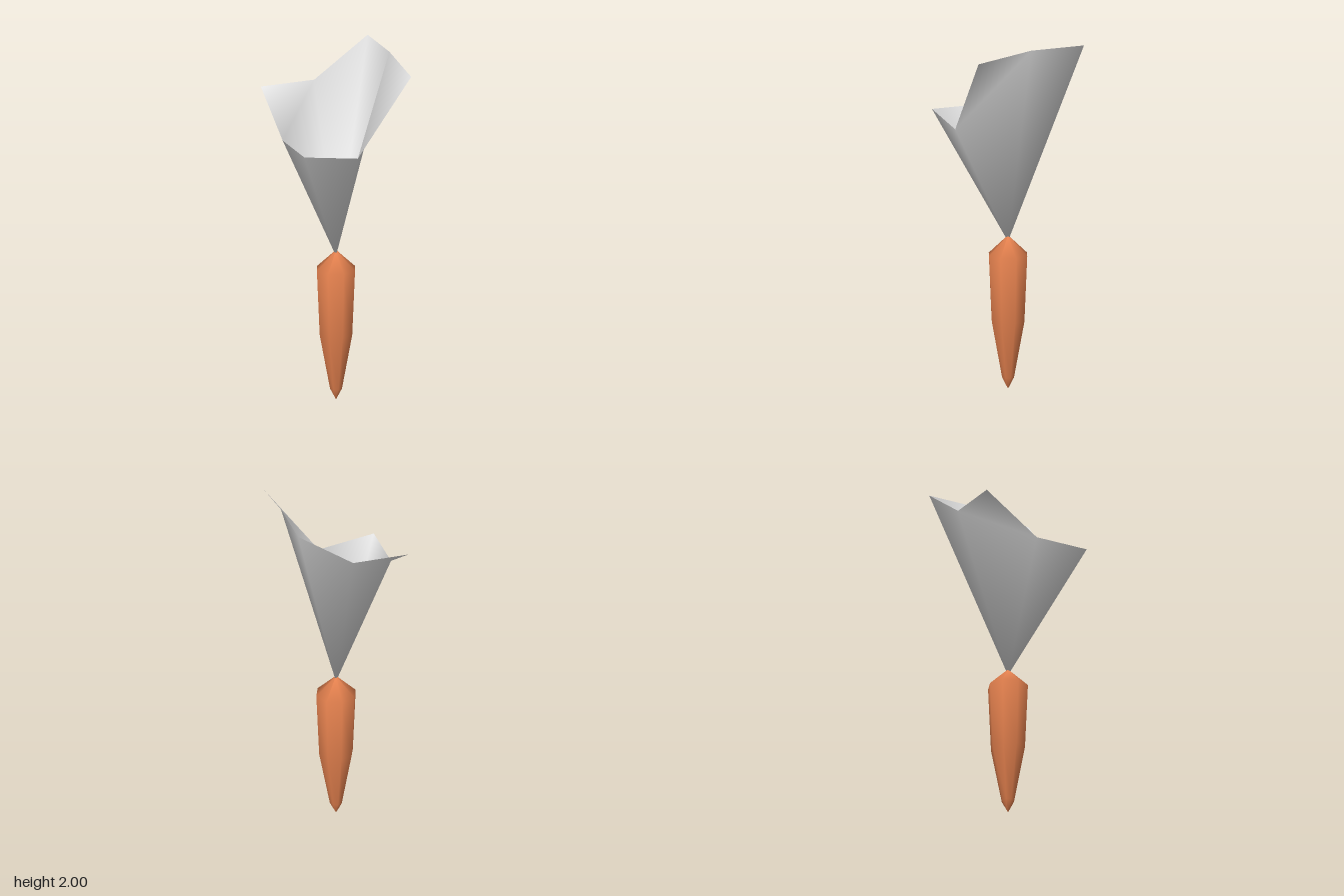
import * as THREE from 'three';

export function createModel() {
  const group = new THREE.Group();
  const orange = new THREE.MeshStandardMaterial({ color: 0xe6824f });
  orange.name = 'orange';
  const paleGrey = new THREE.MeshStandardMaterial({ color: 0xe7e7e7, side: THREE.DoubleSide });
  paleGrey.name = 'paleGrey';

  // Tapered root, eight smooth-shaded sides
  const profile = [[0, 0], [0.036, 0.068], [0.098, 0.39], [0.115, 0.768], [0, 0.878]]
    .map(([r, y]) => new THREE.Vector2(r, y));
  const root = new THREE.Mesh(new THREE.LatheGeometry(profile, 8), orange);
  root.name = 'root';
  group.add(root);

  // Leafy top: a square sheet whose centre is pulled down to the root.
  // Heights run from the back row to the front row, each from -x to +x.
  const heights = [
    1.777, 1.777, 2.0,
    1.56, 0.842, 2.0,
    1.56, 1.512, 1.952,
  ];
  const sheet = new THREE.PlaneGeometry(0.642, 0.642, 2, 2);
  sheet.rotateX(-Math.PI / 2);
  heights.forEach((y, i) => sheet.attributes.position.setY(i, y));
  sheet.computeVertexNormals();
  const leaves = new THREE.Mesh(sheet, paleGrey);
  leaves.name = 'leaves';
  group.add(leaves);

  return group;
}
